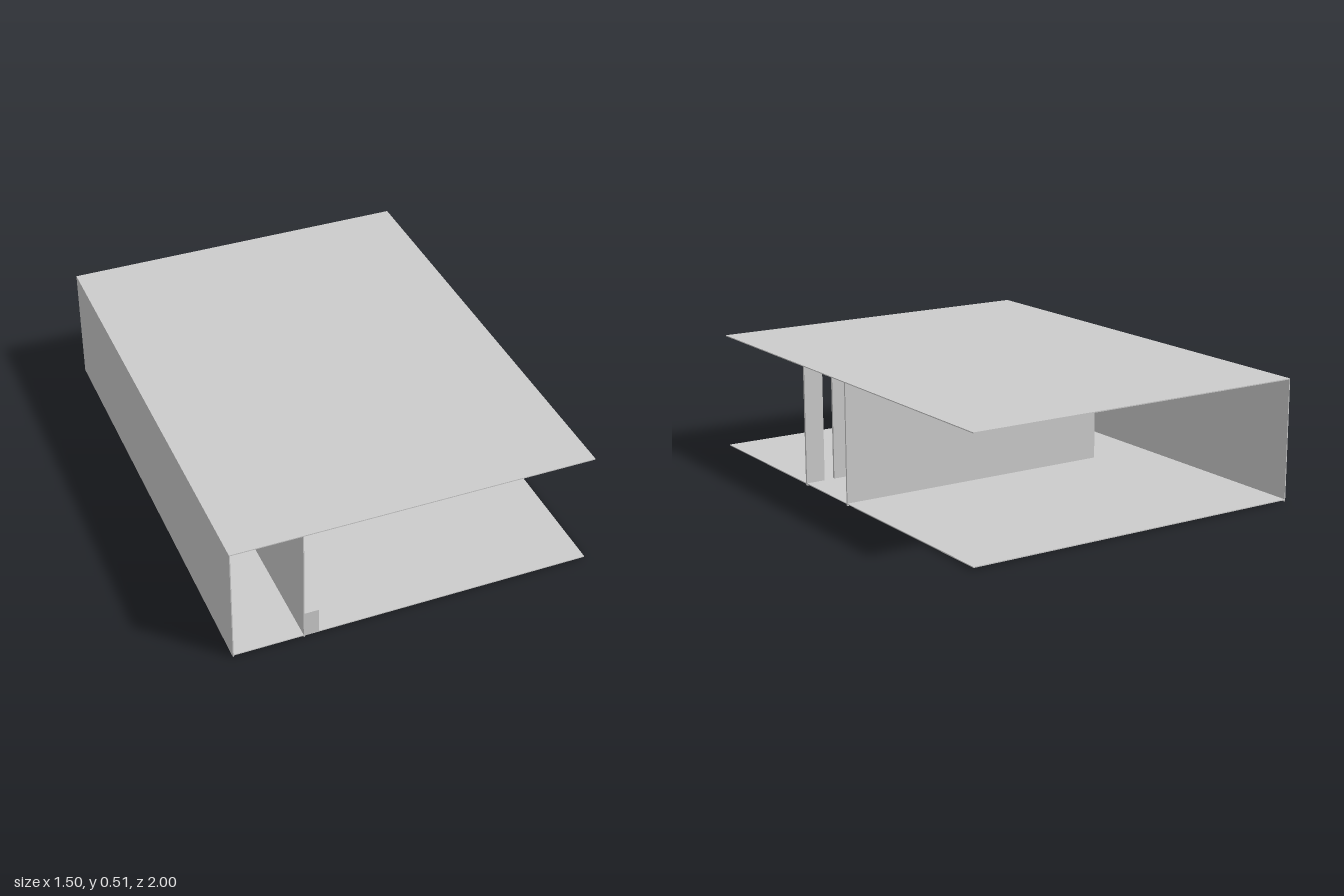
import * as THREE from 'three';

export function createModel() {
  const model = new THREE.Group();
  const material = new THREE.MeshStandardMaterial({ color: 0xcccccc, flatShading: true });

  // Box given by its minimum and maximum on each axis
  function addBox(name, [x0, x1], [y0, y1], [z0, z1], parent = model) {
    const mesh = new THREE.Mesh(new THREE.BoxGeometry(x1 - x0, y1 - y0, z1 - z0), material);
    mesh.name = name;
    mesh.position.set((x0 + x1) / 2, (y0 + y1) / 2, (z0 + z1) / 2);
    parent.add(mesh);
    return mesh;
  }

  const wallHeight = [0, 0.509];

  // Floor and ceiling sheets; the walls reach slightly below the floor
  addBox('floor', [-0.75, 0.75], [0.006, 0.01], [-1, 1]);
  addBox('ceiling', [-0.75, 0.75], [0.506, 0.51], [-1, 1]);

  // Long side wall and cross wall
  addBox('sideWall', [-0.75, -0.746], wallHeight, [-1, 1]);
  addBox('crossWall', [-0.48, 0.75], wallHeight, [-0.075, -0.067]);

  // Thin partition with a low bench against it
  addBox('partition', [-0.462, -0.458], wallHeight, [0.43, 1]);
  addBox('bench', [-0.458, -0.4], [0.008, 0.12], [0.43, 1]);

  // Row of upright slats
  const slats = new THREE.Group();
  slats.name = 'slatScreen';
  model.add(slats);
  const slatWidth = 0.083, pitch = 0.129;
  for (let i = 0; i < 7; i++) {
    const right = 0.75 - i * pitch;
    addBox('slat', [right - slatWidth, right], wallHeight, [0.267, 0.277], slats);
  }

  return model;
}
